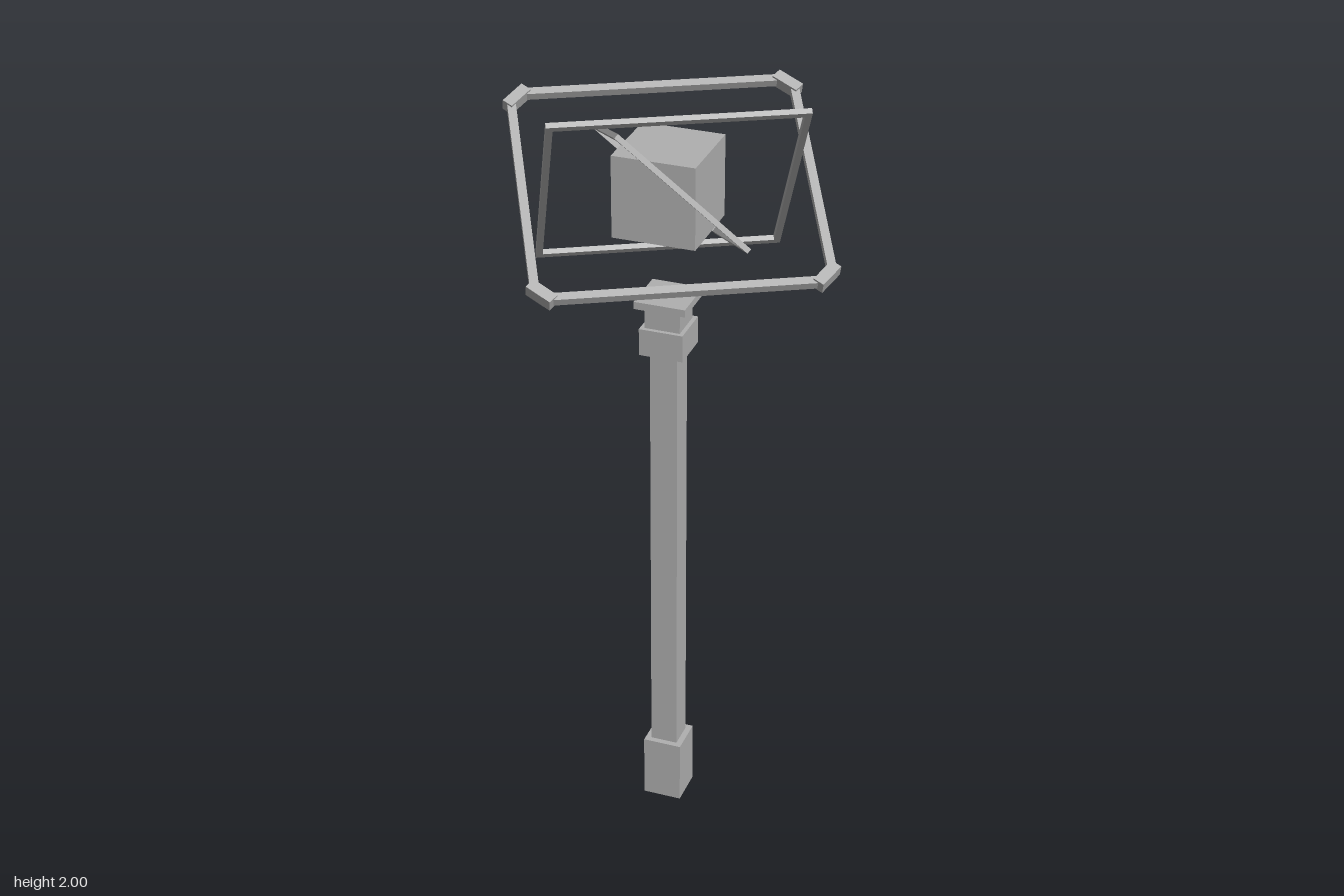
import * as THREE from 'three';

const CENTRE_Y = 1.749;

export function createModel() {
  const model = new THREE.Group();
  model.name = 'framedCubeLamp';
  const grey = new THREE.MeshStandardMaterial({ color: 0xb0b0b0 });
  grey.name = 'stoneGrey';

  const box = (parent, name, w, h, d, x, y, z = 0) => {
    const mesh = new THREE.Mesh(new THREE.BoxGeometry(w, h, d), grey);
    mesh.name = name;
    mesh.position.set(x, y, z);
    parent.add(mesh);
    return mesh;
  };

  // Square post, stacked from the ground up: name, width, bottom, top
  const post = new THREE.Group();
  post.name = 'post';
  model.add(post);
  for (const [name, width, y0, y1] of [
    ['base', 0.1, 0, 0.17],
    ['shaft', 0.07, 0.17, 1.32],
    ['collar', 0.111, 1.32, 1.39],
    ['neck', 0.09, 1.39, 1.447],
    ['capPlate', 0.13, 1.447, 1.466],
  ]) box(post, name, width, y1 - y0, width, 0, (y0 + y1) / 2);

  // Floating cube
  box(model, 'cube', 0.207, 0.207, 0.207, 0, CENTRE_Y);

  // Tilted rectangular frame: u and v are its in-plane axes, a and b its outer
  // half sizes, t the bar width, d the bar depth, cut the length left off at corners
  const frame = (name, u, v, a, b, t, d, cut = 0) => {
    const group = new THREE.Group();
    group.name = name;
    const x = u.clone().normalize();
    const z = x.clone().cross(v).normalize();
    const y = z.clone().cross(x);
    group.quaternion.setFromRotationMatrix(new THREE.Matrix4().makeBasis(x, y, z));
    group.position.y = CENTRE_Y;
    for (const s of [-1, 1]) {
      box(group, 'longBar', 2 * (a - cut), t, d, 0, s * (b - t / 2));
      box(group, 'sideBar', t, 2 * (b - (cut || t)), d, s * (a - t / 2), 0);
    }
    model.add(group);
    return group;
  };

  // Outer and middle frames share a level axis and tilt opposite ways about it
  const level = new THREE.Vector3(0.88, 0, -0.474);
  const tilted = (degrees) => {
    const r = THREE.MathUtils.degToRad(degrees);
    return new THREE.Vector3(0.474 * Math.cos(r), Math.sin(r), 0.88 * Math.cos(r));
  };

  const outer = frame('outerFrame', level, tilted(-25.5), 0.352, 0.32, 0.021, 0.02, 0.05);
  // Thicker diagonal corner blocks
  for (const sx of [-1, 1]) for (const sy of [-1, 1]) {
    const corner = box(outer, 'cornerBlock', 0.07, 0.028, 0.03, sx * 0.327, sy * 0.295);
    corner.rotation.z = (-sx * sy * Math.PI) / 4;
  }

  frame('middleFrame', level, tilted(54), 0.3, 0.302, 0.016, 0.014);
  frame('innerFrame', new THREE.Vector3(0.295, -0.27, -0.073),
    new THREE.Vector3(0.181, 0.12, 0.307), 0.203, 0.189, 0.013, 0.013);

  return model;
}
